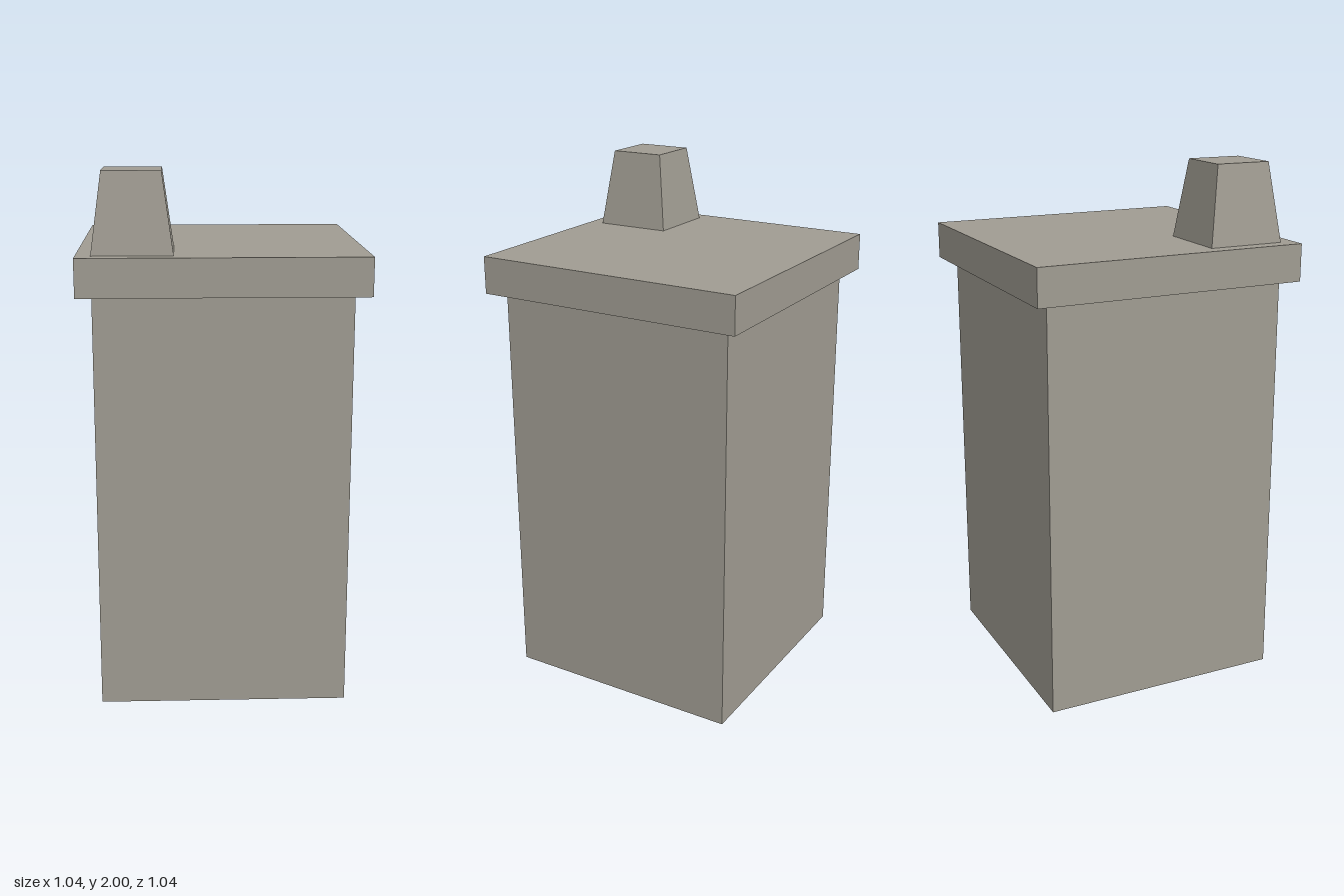
import * as THREE from 'three';

// Square prism or frustum with flat faces, standing on baseY
function squareTower(topHalf, bottomHalf, height, baseY, open) {
  const r = Math.SQRT2;
  const indexed = new THREE.CylinderGeometry(topHalf * r, bottomHalf * r, height, 4, 1, open, Math.PI / 4);
  const geometry = indexed.toNonIndexed();
  geometry.computeVertexNormals();
  geometry.translate(0, baseY + height / 2, 0);
  return geometry;
}

export function createModel() {
  const group = new THREE.Group();
  group.name = 'blockTower';

  const stone = new THREE.MeshStandardMaterial({ color: 0xa09c92, side: THREE.DoubleSide });
  stone.name = 'warm grey stone';

  const add = (name, geometry) => {
    const mesh = new THREE.Mesh(geometry, stone);
    mesh.name = name;
    group.add(mesh);
    return mesh;
  };

  // Hollow main shaft, open at the bottom
  add('body', squareTower(0.465, 0.465, 1.57, 0, true));

  // Overhanging flat roof slab
  add('roofSlab', new THREE.BoxGeometry(1.04, 0.14, 1.04).translate(0, 1.64, 0));

  // Tapered chimney on the front right corner
  add('chimney', squareTower(0.105, 0.145, 0.29, 1.71, false)).position.set(-0.32, 0, 0.32);

  return group;
}
